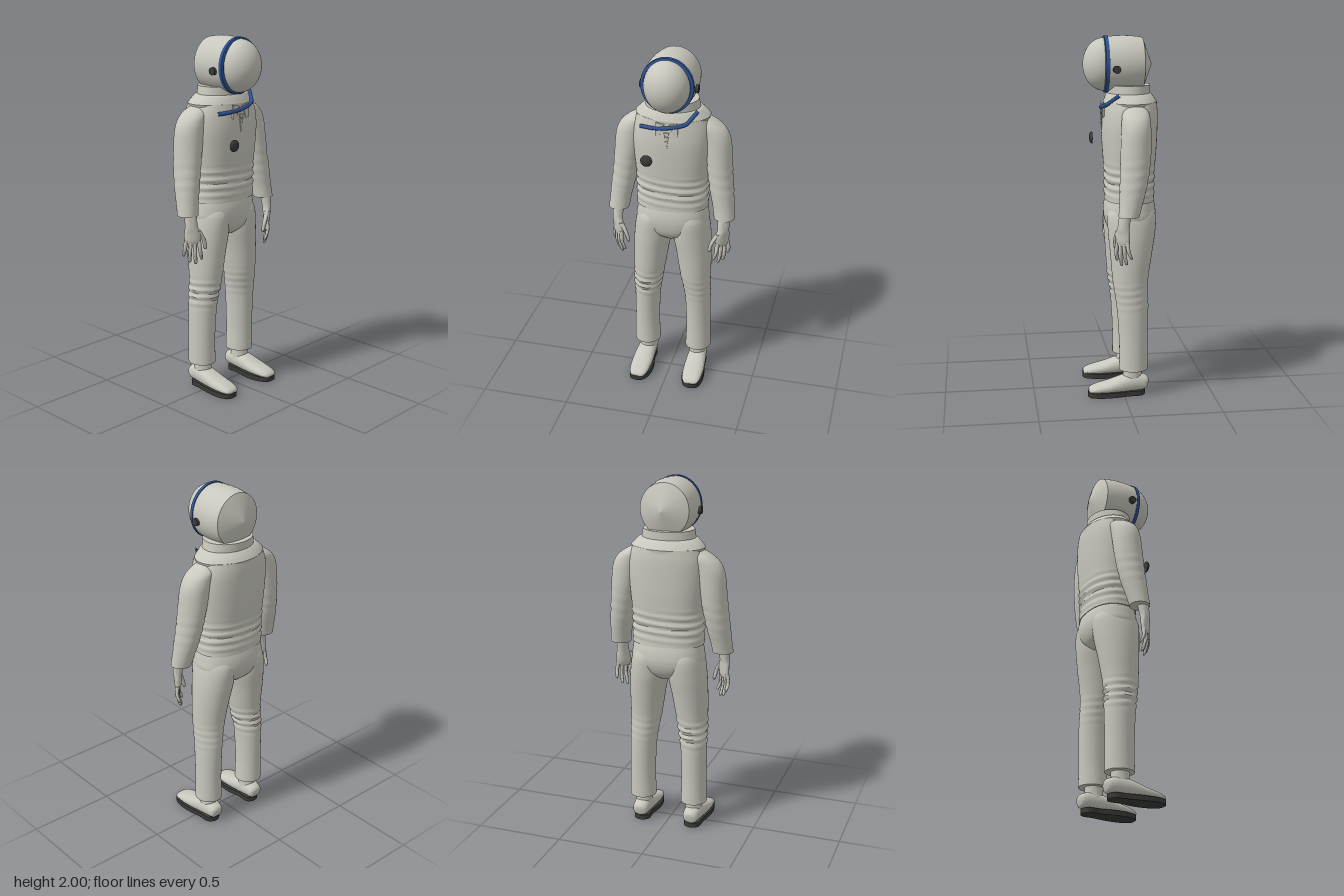
import * as THREE from 'three';
import { toCreasedNormals } from 'three/addons/utils/BufferGeometryUtils.js';

const mat = (name, color) => {
  const m = new THREE.MeshStandardMaterial({ color });
  m.name = name;
  return m;
};

export function createModel() {
  const suit = mat('suit grey', 0xc9c8be);
  const blue = mat('trim blue', 0x2f5496);
  const dark = mat('dark rubber', 0x3a3a37);
  const model = new THREE.Group();
  model.name = 'spaceSuit';

  const add = (name, geo, material, parent = model) => {
    const mesh = new THREE.Mesh(geo, material);
    mesh.name = name;
    parent.add(mesh);
    return mesh;
  };

  // Smooth interpolation between neighbouring cross-sections
  const blend = (a, b, c, d, t) =>
    b + 0.5 * t * (c - a + t * (2 * a - 5 * b + 4 * c - d + t * (3 * (b - c) + d - a)));

  // Closed loft through rings [y, centreX, centreZ, radiusX, radiusZ], lowest first
  function loft(rings, { steps = 6, sides = 40, power = 2, fold = () => 0, crease = 0.7 } = {}) {
    const rows = [];
    const n = rings.length - 1;
    for (let i = 0; i < n; i++) {
      for (let k = 0; k < steps; k++) {
        const q = [Math.max(i - 1, 0), i, i + 1, Math.min(i + 2, n)].map((j) => rings[j]);
        rows.push(q[0].map((_, c) => blend(q[0][c], q[1][c], q[2][c], q[3][c], k / steps)));
      }
    }
    rows.push(rings[n]);
    const pos = [], index = [];
    const round = (v) => Math.sign(v) * Math.abs(v) ** (2 / power);
    for (const [y, cx, cz, rx, rz] of rows) {
      for (let j = 0; j < sides; j++) {
        const a = (j / sides) * Math.PI * 2;
        const f = fold(y, a);
        pos.push(cx + (rx + f) * round(Math.cos(a)), y, cz + (rz + f) * round(Math.sin(a)));
      }
    }
    for (let i = 0; i < rows.length - 1; i++) {
      for (let j = 0; j < sides; j++) {
        const a = i * sides + j, b = i * sides + ((j + 1) % sides);
        index.push(a, a + sides, b, b, a + sides, b + sides);
      }
    }
    // End caps
    const top = (rows.length - 1) * sides, centre = rows.length * sides;
    for (const r of [rows[0], rows[rows.length - 1]]) pos.push(r[1], r[0], r[2]);
    for (let j = 0; j < sides; j++) {
      const k = (j + 1) % sides;
      index.push(centre, j, k, centre + 1, top + k, top + j);
    }
    const geo = new THREE.BufferGeometry();
    geo.setAttribute('position', new THREE.Float32BufferAttribute(pos, 3));
    geo.setIndex(index);
    return toCreasedNormals(geo, crease);
  }

  // Soft fabric folds between two heights
  const folds = (low, high, depth, pitch) => (y, a) => {
    if (y < low || y > high) return 0;
    const fade = Math.sin(((y - low) / (high - low)) * Math.PI);
    return depth * fade * Math.sin((y / pitch) * Math.PI * 2 + 0.8 * Math.sin(2 * a));
  };

  // Jacket, hips and collar
  add('jacket', loft([
    [1.1, 0, -0.05, 0.202, 0.137], [1.2, 0, -0.05, 0.2, 0.136], [1.3, 0, -0.05, 0.204, 0.141],
    [1.4, 0, -0.05, 0.213, 0.148], [1.5, 0, -0.05, 0.219, 0.152], [1.58, 0, -0.053, 0.213, 0.15],
    [1.645, 0, -0.055, 0.192, 0.143],
  ], { power: 2.35, steps: 12, sides: 64, fold: folds(1.1, 1.32, 0.005, 0.045) }), suit);
  add('hips', loft([
    [0.9, 0, -0.05, 0.05, 0.08], [0.94, 0, -0.05, 0.15, 0.122], [1.0, 0, -0.052, 0.203, 0.142],
    [1.06, 0, -0.051, 0.201, 0.142], [1.12, 0, -0.05, 0.19, 0.128],
  ], { power: 2.3, sides: 56 }), suit);
  add('collar', loft([
    [1.625, 0, -0.055, 0.2, 0.145], [1.643, 0, -0.055, 0.206, 0.147], [1.655, 0, -0.054, 0.196, 0.14],
    [1.685, 0, -0.048, 0.166, 0.124], [1.69, 0, -0.046, 0.15, 0.118], [1.735, 0, -0.045, 0.142, 0.12],
  ], { steps: 1, sides: 56, crease: 0.5 }), suit);

  // Helmet: turned shell with pointed back, rim, clear dome and side knobs
  const turned = (points, sx, sy) => {
    const geo = new THREE.LatheGeometry(points.map(([r, z]) => new THREE.Vector2(r, z)), 56);
    geo.rotateX(Math.PI / 2).scale(sx, sy, 1);
    return toCreasedNormals(geo, 0.45);
  };
  const helmet = new THREE.Group();
  helmet.name = 'helmet';
  helmet.position.y = 1.845;
  model.add(helmet);
  add('helmetShell', turned([
    [0, -0.175], [0.935, -0.12], [0.97, -0.085], [0.995, -0.045], [1, -0.01], [0.99, 0.03],
    [0.96, 0.075], [0.95, 0.085], [0, 0.085],
  ], 0.147, 0.155), suit, helmet);
  add('helmetRim', turned([[0.94, 0.07], [0.98, 0.071], [0.975, 0.09], [0.87, 0.094], [0.8, 0.088]],
    0.147, 0.157), blue, helmet);
  const dome = new THREE.SphereGeometry(1, 48, 20, 0, Math.PI * 2, 0, Math.PI / 2);
  dome.rotateX(Math.PI / 2).scale(0.124, 0.144, 0.117);
  add('visor', dome, suit, helmet).position.z = 0.088;
  for (const s of [1, -1]) {
    const knob = add('helmetKnob', new THREE.CylinderGeometry(0.021, 0.021, 0.026, 20), dark, helmet);
    knob.rotation.z = Math.PI / 2;
    knob.position.set(s * 0.146, -0.02, 0.035);
  }

  // Neck strap, front tabs and chest button
  const strapPath = new THREE.CatmullRomCurve3([
    [-0.15, 1.597, 0.07], [-0.07, 1.603, 0.096], [0, 1.612, 0.103], [0.1, 1.636, 0.083],
    [0.125, 1.66, 0.055], [0.15, 1.688, 0.022],
  ].map((p) => new THREE.Vector3(...p)));
  add('neckStrap', new THREE.TubeGeometry(strapPath, 40, 0.011, 8), blue);
  const tab = (w, h) => {
    const shape = new THREE.Shape([[-w, 0], [-w * 0.5, -h], [w * 0.5, -h], [w, 0]]
      .map((p) => new THREE.Vector2(...p)));
    return new THREE.ExtrudeGeometry(shape, { depth: 0.008, bevelEnabled: false });
  };
  for (const s of [1, -1]) {
    const flap = add('collarTab', tab(0.024, 0.075), suit);
    flap.position.set(s * 0.036, 1.635, 0.094);
    flap.rotation.z = s * 0.2;
  }
  for (let i = 0; i < 4; i++) {
    add('lacing', tab(0.016 - i * 0.003, 0.022), suit).position.set(0, 1.585 - i * 0.025, 0.098);
  }
  const button = add('chestButton', new THREE.SphereGeometry(0.033, 24, 10, 0, Math.PI * 2, 0, Math.PI / 2)
    .scale(1, 0.45, 1).rotateX(Math.PI / 2), dark);
  button.position.set(-0.1, 1.43, 0.147);
  const backing = add('chestButtonBack', new THREE.CylinderGeometry(0.033, 0.033, 0.004, 24), dark);
  backing.rotation.x = Math.PI / 2;
  backing.position.set(-0.1, 1.43, 0.146);

  for (const s of [1, -1]) {
    const side = s > 0 ? 'left' : 'right';

    // Sleeve
    add(side + 'Sleeve', loft([
      [1.055, s * 0.302, -0.008, 0.058, 0.056], [1.12, s * 0.294, -0.02, 0.06, 0.062],
      [1.2, s * 0.282, -0.033, 0.066, 0.072], [1.3, s * 0.268, -0.045, 0.07, 0.079],
      [1.4, s * 0.255, -0.052, 0.075, 0.082], [1.5, s * 0.239, -0.056, 0.082, 0.08],
      [1.56, s * 0.218, -0.058, 0.08, 0.077], [1.6, s * 0.19, -0.06, 0.066, 0.07],
      [1.632, s * 0.165, -0.06, 0.035, 0.045],
    ], { fold: folds(1.15, 1.4, 0.0015, 0.06) }), suit);

    // Hand with four fingers and a thumb
    const hand = new THREE.Group();
    hand.name = side + 'Hand';
    hand.position.set(s * 0.3, 0, 0.025);
    hand.rotation.y = s * Math.PI / 4;
    model.add(hand);
    add('palm', loft([
      [0.895, 0, 0, 0.036, 0.012], [0.92, 0, 0, 0.044, 0.019], [0.96, 0, 0, 0.045, 0.022],
      [1.0, s * 0.006, 0, 0.035, 0.026], [1.08, s * 0.012, -0.01, 0.034, 0.032],
    ], { sides: 24 }), suit, hand);
    [0.095, 0.13, 0.14, 0.115].forEach((len, i) => {
      const x = s * (0.034 - i * 0.0225), spread = x * 0.45, y = 0.92;
      add('finger', loft([
        [y - len, x + spread, -0.014, 0.004, 0.004], [y - len + 0.012, x + spread * 0.95, -0.01, 0.009, 0.009],
        [y - len * 0.5, x + spread * 0.5, 0.004, 0.0105, 0.0105], [y, x, 0, 0.012, 0.013],
      ], { sides: 12, steps: 4 }), suit, hand);
    });
    add('thumb', loft([
      [0.862, -s * 0.068, -0.026, 0.005, 0.005], [0.875, -s * 0.068, -0.024, 0.01, 0.01],
      [0.92, -s * 0.06, -0.014, 0.012, 0.012], [0.975, -s * 0.03, 0, 0.016, 0.015],
    ], { sides: 12, steps: 4 }), suit, hand);

    // Trouser leg, with knee folds on the right one
    add(side + 'Leg', loft([
      [0.15, s * 0.154, -0.055, 0.075, 0.08], [0.3, s * 0.155, -0.055, 0.071, 0.08],
      [0.5, s * 0.15, -0.051, 0.075, 0.088], [0.65, s * 0.137, -0.04, 0.088, 0.098],
      [0.8, s * 0.125, -0.045, 0.1, 0.115], [0.92, s * 0.111, -0.05, 0.108, 0.13],
      [1.02, s * 0.104, -0.051, 0.1, 0.134], [1.08, s * 0.1, -0.05, 0.08, 0.11],
    ], { steps: 14, fold: folds(0.47, 0.68, s < 0 ? 0.005 : 0.0015, 0.042) }), suit);

    // Ankle, shoe and sole
    add(side + 'Ankle', loft([
      [0.08, s * 0.152, -0.05, 0.05, 0.056], [0.12, s * 0.152, -0.05, 0.046, 0.052],
      [0.18, s * 0.152, -0.05, 0.046, 0.05],
    ], { sides: 24 }), suit);
    add(side + 'Shoe', loft([
      [-0.14, s * 0.153, -0.08, 0.022, 0.014], [-0.125, s * 0.153, -0.07, 0.042, 0.038],
      [-0.07, s * 0.154, -0.073, 0.05, 0.05], [0, s * 0.156, -0.066, 0.057, 0.047],
      [0.08, s * 0.158, -0.052, 0.06, 0.034], [0.15, s * 0.159, -0.043, 0.055, 0.024],
      [0.187, s * 0.16, -0.037, 0.044, 0.015], [0.198, s * 0.16, -0.034, 0.03, 0.008],
    ], { power: 2.3 }).rotateX(Math.PI / 2), suit);
    const outline = [[0.153, 0.122], [0.195, 0.1], [0.203, 0.03], [0.218, -0.06], [0.218, -0.14],
      [0.196, -0.195], [0.13, -0.195], [0.1, -0.14], [0.093, -0.06], [0.108, 0.03], [0.111, 0.1]];
    const sole = new THREE.Shape(new THREE.CatmullRomCurve3(
      outline.map(([x, y]) => new THREE.Vector3(s * x, y, 0)), true).getPoints(48).slice(0, -1)
      .map((p) => new THREE.Vector2(p.x, p.y)));
    add(side + 'Sole', toCreasedNormals(new THREE.ExtrudeGeometry(sole,
      { depth: 0.028, bevelEnabled: false }).rotateX(-Math.PI / 2), 0.6), dark);
  }
  return model;
}
